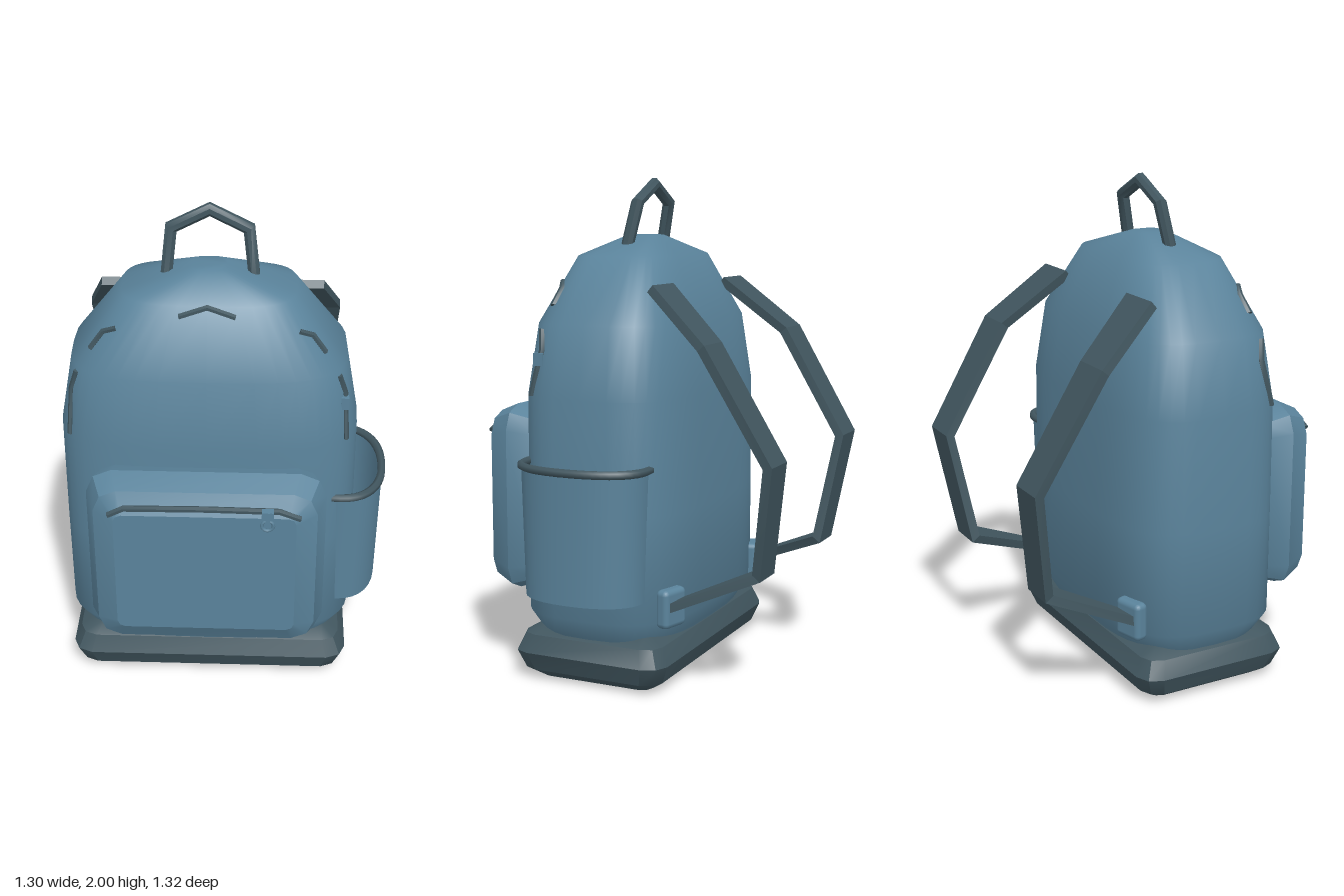
import * as THREE from 'three';
import { toCreasedNormals } from 'three/addons/utils/BufferGeometryUtils.js';
import { RoundedBoxGeometry } from 'three/addons/geometries/RoundedBoxGeometry.js';

const CX = -0.0635, CZ = 0.1, N = 3.4;
const V = (x, y, z) => new THREE.Vector3(x, y, z);

// Skin a stack of equal-length rings, with optional flat end caps
function loft(rings, crease = 0.6, capStart = true, capEnd = true) {
  const n = rings[0].length, pos = [], idx = [];
  rings.forEach(r => r.forEach(p => pos.push(p.x, p.y, p.z)));
  for (let j = 0; j < rings.length - 1; j++) {
    for (let i = 0; i < n; i++) {
      const a = j * n + i, b = j * n + (i + 1) % n;
      idx.push(a, b, b + n, a, b + n, a + n);
    }
  }
  const last = (rings.length - 1) * n;
  for (let i = 1; i < n - 1; i++) {
    if (capStart) idx.push(0, i + 1, i);
    if (capEnd) idx.push(last, last + i, last + i + 1);
  }
  const g = new THREE.BufferGeometry();
  g.setAttribute('position', new THREE.Float32BufferAttribute(pos, 3));
  g.setIndex(idx);
  g.computeVertexNormals();
  return toCreasedNormals(g, crease);
}

// Superellipse outline as [u, v] pairs
function oval(a, b, n, count) {
  const f = c => Math.sign(c) * Math.abs(c) ** (2 / n);
  return Array.from({ length: count }, (_, i) => {
    const t = i / count * Math.PI * 2;
    return [a * f(Math.cos(t)), b * f(Math.sin(t))];
  });
}

// Rectangle outline with two-step corners as [u, v] pairs
function softRect(a, b, c) {
  const k = c * 0.3, pts = [];
  const corner = [[a, b - c], [a - k, b - k], [a - c, b]];
  for (const [sx, sy] of [[1, 1], [-1, 1], [-1, -1], [1, -1]]) {
    const list = sx * sy > 0 ? corner : [...corner].reverse();
    list.forEach(([u, v]) => pts.push([u * sx, v * sy]));
  }
  return pts;
}

// Sweep a section along a straight-sided path with mitred bends
function sweep(path, side, widths, thick, sides, crease) {
  const rings = path.map((p, i) => {
    const d0 = p.clone().sub(path[Math.max(i - 1, 0)]).normalize();
    const d1 = path[Math.min(i + 1, path.length - 1)].clone().sub(p).normalize();
    const t = d0.clone().add(d1).normalize();
    const miter = Math.max(0.75, Math.max(t.dot(d0), t.dot(d1)));
    const n = t.clone().cross(side).normalize();
    const w = (Array.isArray(widths) ? widths[i] : widths) / 2;
    return Array.from({ length: sides }, (_, k) => {
      const a = (k + 0.5) / sides * Math.PI * 2, q = sides === 4 ? Math.SQRT2 : 1;
      return p.clone().addScaledVector(side, Math.cos(a) * q * w)
        .addScaledVector(n, Math.sin(a) * q * thick / 2 / miter);
    });
  });
  return loft(rings, crease);
}

// Body profile: height, half width, half depth, depth centre
const PROFILE = [
  [0.1, 0.48, 0.27, CZ], [0.2, 0.535, 0.305, CZ], [0.28, 0.585, 0.35, CZ], [0.7, 0.587, 0.35, CZ],
  [1.15, 0.585, 0.348, CZ], [1.43, 0.535, 0.312, CZ], [1.69, 0.335, 0.2, CZ], [1.77, 0.066, 0.064, CZ - 0.005],
];

// Front surface of the body at a given x and y
function onFront(x, y) {
  const i = PROFILE.findIndex(r => r[0] > y);
  const p = PROFILE[i - 1], q = PROFILE[i], t = (y - p[0]) / (q[0] - p[0]);
  const hw = p[1] + (q[1] - p[1]) * t, hd = p[2] + (q[2] - p[2]) * t;
  const u = Math.min(Math.abs(x) / hw, 0.999);
  return V(CX + x, y, CZ + hd * (1 - u ** N) ** (1 / N));
}

export function createModel() {
  const model = new THREE.Group();
  const blue = new THREE.MeshStandardMaterial({ color: 0x5a839b, side: THREE.DoubleSide });
  blue.name = 'blue fabric';
  const dark = new THREE.MeshStandardMaterial({ color: 0x41565f });
  dark.name = 'dark trim';
  const add = (name, geo, mat, x = 0, y = 0, z = 0) => {
    const m = new THREE.Mesh(geo, mat);
    m.name = name;
    m.position.set(x, y, z);
    model.add(m);
    return m;
  };
  const X = V(1, 0, 0), Z = V(0, 0, 1);

  // Main bag
  add('body', loft(PROFILE.map(([y, a, b, z]) =>
    oval(a, b, N, 40).map(([u, v]) => V(CX + u, y, z - v))), 1), blue);

  // Padded base
  add('base', loft([[0, 0.09, 0.04], [0.04, 0.03, 0.07], [0.115, 0, 0.08], [0.185, 0.03, 0.07], [0.22, 0.09, 0.04]]
    .map(([y, d, c]) => softRect(0.573 - d, 0.332 - d, c).map(([u, v]) => V(CX + u, y, CZ - v)))), dark);

  // Front pocket with its zip and pull
  add('frontPocket', loft([[0.39, 0.035, 0.08], [0.5, 0, 0.1], [0.59, 0.035, 0.09], [0.635, 0.115, 0.03]]
    .map(([z, d, c]) => softRect(0.463 - d, 0.385 - d, c).map(([u, v]) => V(CX + u, 0.705 + v, z))), 0.45), blue);
  add('frontPocketZip', sweep([V(-0.43, 0.972, 0.627), V(-0.37, 1.003, 0.627), V(-0.06, 1.01, 0.632),
    V(0.22, 1.003, 0.627), V(0.3, 0.972, 0.627)], Z, 0.03, 0.022, 6, 0.7), dark);
  add('frontPocketSlider', new THREE.BoxGeometry(0.045, 0.035, 0.03), blue, 0.175, 1.0, 0.645);
  add('frontPocketPullStem', new THREE.BoxGeometry(0.018, 0.05, 0.012), blue, 0.175, 0.995, 0.658);
  add('frontPocketPullRing', new THREE.TorusGeometry(0.022, 0.007, 6, 12), blue, 0.175, 0.957, 0.655);

  // Side pocket on the left, open at the top
  const pocketRing = (a, b, y) => oval(a, b, 2.3, 32).map(([u, v]) => V(0.46 + u, y, CZ + 0.002 - v));
  add('sidePocket', loft([pocketRing(0.168, 0.25, 0.37), pocketRing(0.178, 0.264, 0.89)], 0.8, true, false), blue);
  add('sidePocketRim', new THREE.TubeGeometry(
    new THREE.CatmullRomCurve3(pocketRing(0.175, 0.264, 0.888), true), 48, 0.017, 6, true), dark);

  // Main zip, showing as short strips over the front
  const strips = {
    zipTop: [[-0.105, 1.655], [-0.04, 1.675], [0, 1.687], [0.04, 1.675], [0.105, 1.655]],
    zipShoulder: [[0.345, 1.59], [0.395, 1.565], [0.445, 1.5]],
    zipSide: [[0.5, 1.41], [0.525, 1.33], [0.53, 1.24], [0.535, 1.15]],
  };
  for (const [name, pts] of Object.entries(strips)) {
    for (const s of name === 'zipTop' ? [1] : [1, -1]) {
      add(name, sweep(pts.map(([x, y]) => onFront(x * s, y)), Z, 0.028, 0.022, 6, 0.7), dark);
    }
  }
  const pull = onFront(0.525, 1.295);
  add('zipPull', new THREE.BoxGeometry(0.03, 0.05, 0.04), blue, pull.x, pull.y, pull.z);

  // Carry handle
  add('handle', sweep([V(-0.23, 1.71, 0.1), V(-0.21, 1.9, 0.06), V(CX, 1.974, 0.057),
    V(0.085, 1.9, 0.06), V(0.108, 1.71, 0.1)], Z, 0.052, 0.048, 8, 0.7), dark);

  // Shoulder straps and their lower anchors
  for (const s of [1, -1]) {
    const path = [[0.35, 1.575, -0.135], [0.44, 1.365, -0.38], [0.425, 0.93, -0.64], [0.35, 0.49, -0.57], [0.44, 0.345, -0.23]];
    add('shoulderStrap', sweep(path.map(([x, y, z]) => V(CX + s * x, y, z)), X,
      [0.19, 0.17, 0.16, 0.155, 0.08], 0.035, 4, 0.2), dark);
    const anchor = add('strapAnchor', new RoundedBoxGeometry(0.13, 0.155, 0.06, 2, 0.022), blue,
      CX + s * 0.43, 0.338, -0.218);
    anchor.rotation.y = -s * 0.25;
  }
  return model;
}
